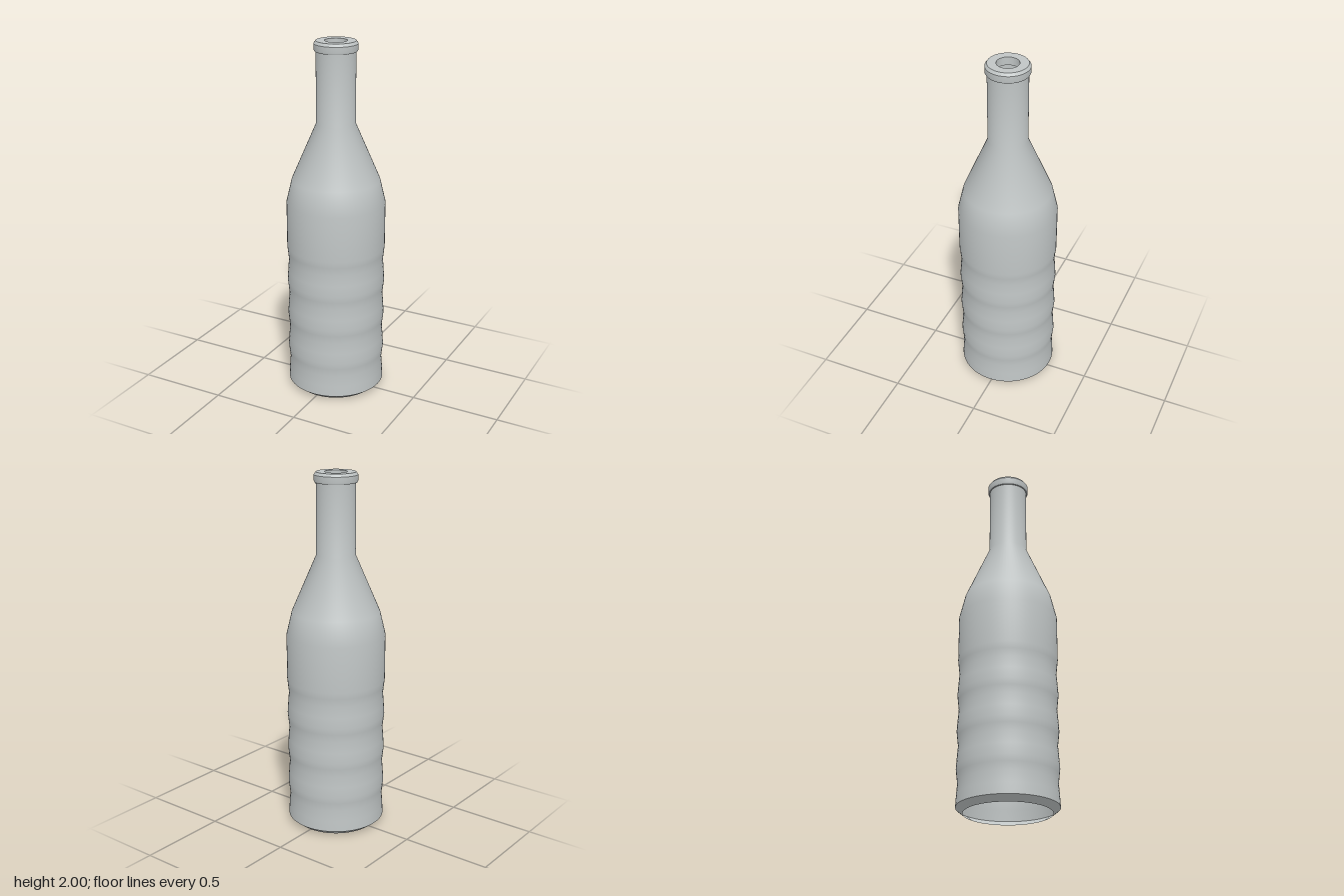
import * as THREE from 'three';

export function createModel() {
  const model = new THREE.Group();
  model.name = 'bottle';
  const glass = new THREE.MeshStandardMaterial({ color: 0xc0c5c5, side: THREE.DoubleSide });
  glass.name = 'pale grey glass';

  // Each turned part is smooth in itself; separate parts meet at sharp edges
  const turn = (name, profile) => {
    const points = profile.map(([r, y]) => new THREE.Vector2(r, y));
    const mesh = new THREE.Mesh(new THREE.LatheGeometry(points, 64), glass);
    mesh.name = name;
    model.add(mesh);
  };

  // Open foot with a bevel
  turn('footBevel', [[0.235, 0], [0.273, 0.03]]);

  // Body: four shallow grooves, then shoulder and neck
  const body = [[0.273, 0.03]];
  for (let i = 0; i < 4; i++) {
    const y = 0.03 + i * 0.206;
    body.push([0.27, y + 0.06], [0.265, y + 0.125], [0.27, y + 0.17], [0.274, y + 0.206]);
  }
  body.push([0.274, 1.11], [0.243, 1.24], [0.107, 1.555], [0.107, 1.945]);
  turn('body', body);

  // Mouth ring
  turn('lipUnderside', [[0.107, 1.945], [0.114, 1.945]]
    .reverse().map(([r, y]) => [r, y]).reverse());
  turn('lipBand', [[0.114, 1.945], [0.118, 1.953], [0.118, 1.985]]);
  turn('lipBevel', [[0.118, 1.985], [0.107, 2]]);
  turn('lipTop', [[0.107, 2], [0.06, 2]]);
  turn('mouthBore', [[0.06, 2], [0.06, 1.955]]);
  turn('boreUnderside', [[0.06, 1.955], [0.107, 1.945]]);
  return model;
}
